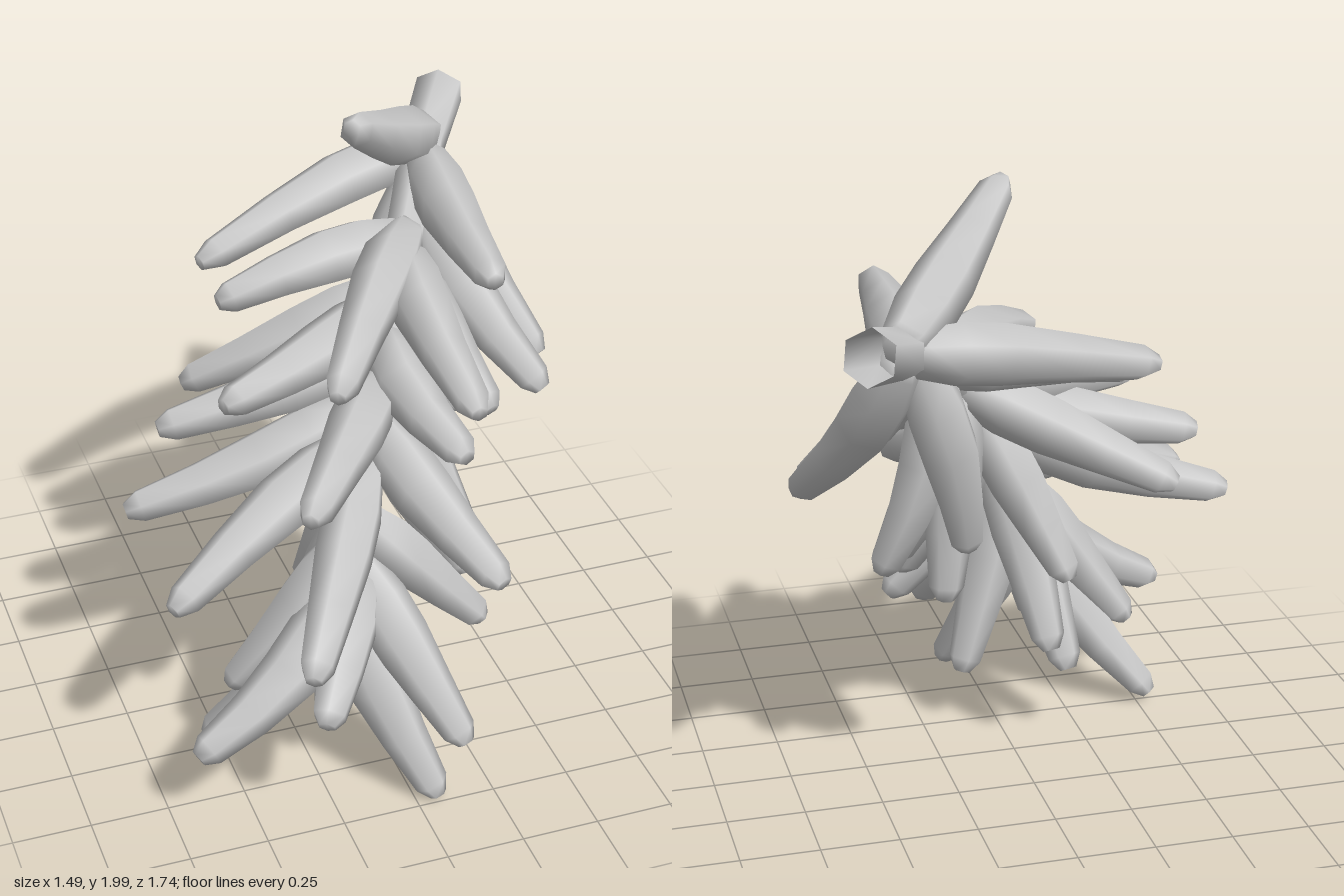
import * as THREE from 'three';

const V = (p) => new THREE.Vector3(...p);

// Drooping stem, from the thick cut end to the thin end
const stemCurve = new THREE.CatmullRomCurve3([
  [0.63, 1.69, -0.82], [0.49, 1.62, -0.6], [0.38, 1.53, -0.4], [0.2, 1.32, -0.1],
  [0.05, 1.1, 0.15], [-0.07, 0.88, 0.34], [-0.14, 0.62, 0.45], [-0.15, 0.45, 0.48],
].map(V));

// Nearly straight leaves: [root position along the stem, tip]
const straightLeaves = [
  [0.12, [0.06, 1.97, -0.08]], [0.42, [-0.44, 1.24, 0.18]], [0.37, [0.4, 1.11, 0.27]],
  [0.48, [-0.6, 1.08, -0.01]], [0.4, [-0.43, 1.03, -0.33]], [0.58, [0.25, 0.82, 0.77]],
  [0.4, [0.28, 0.67, -0.22]], [0.52, [-0.15, 0.65, -0.12]], [0.5, [0.34, 0.64, 0.24]],
  [0.57, [0.31, 0.56, 0.32]], [0.64, [-0.38, 0.67, 0.85]], [0.62, [-0.11, 0.38, -0.06]],
  [0.8, [-0.21, 0.25, 0.5]], [0.72, [0.12, 0.2, 0.23]], [0.75, [-0.48, 0.29, 0.31]],
  [0.72, [-0.2, 0.25, 0.05]],
];

// Bent leaves: [root position along the stem, tip, middle]
const bentLeaves = [
  [0.17, [0.39, 1.58, 0.29], [0.42, 1.58, -0.15]],
  [0.15, [-0.35, 1.44, -0.36], [0.14, 1.56, -0.52]],
  [0.34, [-0.34, 1.38, -0.2], [0, 1.45, -0.24]],
  [0.33, [-0.15, 1.34, 0.4], [0.1, 1.45, 0.03]],
  [0.36, [0.24, 1.3, 0.56], [0.23, 1.4, 0.12]],
  [0.47, [0.2, 1.16, 0.57], [0.13, 1.22, 0.25]],
  [0.53, [-0.34, 1.14, 0.71], [-0.09, 1.17, 0.36]],
  [0.16, [0.72, 1.04, -0.11], [0.57, 1.31, -0.37]],
  [0.27, [0.67, 1.01, 0.05], [0.49, 1.27, -0.16]],
  [0.22, [0.25, 0.91, -0.39], [0.31, 1.22, -0.45]],
  [0.55, [-0.73, 0.84, 0.05], [-0.33, 0.95, 0.08]],
  [0.35, [0.49, 0.8, -0.25], [0.36, 1.12, -0.28]],
  [0.6, [-0.71, 0.77, 0.51], [-0.33, 0.92, 0.31]],
  [0.8, [-0.34, 0.49, 0.85], [-0.2, 0.64, 0.63]],
  [0.72, [0.33, 0.43, 0.41], [0.09, 0.69, 0.4]],
  [0.78, [0.14, 0.25, 0.78], [0, 0.53, 0.6]],
  [0.82, [-0.68, 0.29, 0.63], [-0.38, 0.45, 0.55]],
  [0.86, [-0.54, 0.04, 0.23], [-0.31, 0.32, 0.35]],
  [0.86, [0.07, 0.02, 0.73], [-0.07, 0.35, 0.59]],
];

// Tapered tube: rings is a list of [position along the curve, radius]
function taperedTube(curve, rings, sides, capped) {
  const pos = [], index = [];
  const u = new THREE.Vector3(0, 1, 0), w = new THREE.Vector3();
  rings.forEach(([t, r], i) => {
    const c = curve.getPoint(t), d = curve.getTangent(t);
    u.addScaledVector(d, -u.dot(d)).normalize();
    w.crossVectors(d, u);
    for (let k = 0; k < sides; k++) {
      const a = (k / sides) * Math.PI * 2;
      const p = c.clone().addScaledVector(u, r * Math.cos(a)).addScaledVector(w, r * Math.sin(a));
      pos.push(p.x, p.y, p.z);
      if (i === 0) continue;
      const n = (k + 1) % sides, lo = (i - 1) * sides, hi = i * sides;
      index.push(lo + k, lo + n, hi + n, lo + k, hi + n, hi + k);
    }
  });
  if (capped) {
    const last = (rings.length - 1) * sides;
    for (let k = 1; k < sides - 1; k++) {
      index.push(0, k + 1, k, last, last + k, last + k + 1);
    }
  }
  const g = new THREE.BufferGeometry();
  g.setAttribute('position', new THREE.Float32BufferAttribute(pos, 3));
  g.setIndex(index);
  g.computeVertexNormals();
  return g;
}

// Middle of a straight leaf, sagging slightly along the stem
function saggingMiddle(t, root, tip) {
  const along = tip.clone().sub(root).normalize();
  const bow = stemCurve.getTangent(t);
  bow.addScaledVector(along, -bow.dot(along)).normalize();
  return root.clone().lerp(tip, 0.48).addScaledVector(bow, 0.015);
}

export function createModel() {
  const model = new THREE.Group();
  model.name = 'leafySprig';
  const material = new THREE.MeshStandardMaterial({ color: 0xcccccc });
  const openMaterial = new THREE.MeshStandardMaterial({ color: 0xcccccc, side: THREE.DoubleSide });

  // Stem with an open cut end
  const stemRings = [0, 0.15, 0.3, 0.45, 0.6, 0.75, 0.9, 1].map((t) => [t, 0.085 - 0.05 * t]);
  const stem = new THREE.Mesh(taperedTube(stemCurve, stemRings, 6, false), openMaterial);
  stem.name = 'stem';
  model.add(stem);

  // Plump leaves, widest before the middle, with blunt tips
  const leafRings = [[0, 0.05], [0.07, 0.075], [0.25, 0.096], [0.45, 0.095], [0.7, 0.075], [0.94, 0.055], [1, 0.028]];
  [...straightLeaves, ...bentLeaves].forEach(([t, tipPoint, middle], i) => {
    const root = stemCurve.getPoint(t), tip = V(tipPoint);
    const mid = middle ? V(middle) : saggingMiddle(t, root, tip);
    const curve = new THREE.CatmullRomCurve3([root, mid, tip]);
    const leaf = new THREE.Mesh(taperedTube(curve, leafRings, 6, true), material);
    leaf.name = `leaf${i + 1}`;
    model.add(leaf);
  });

  return model;
}
